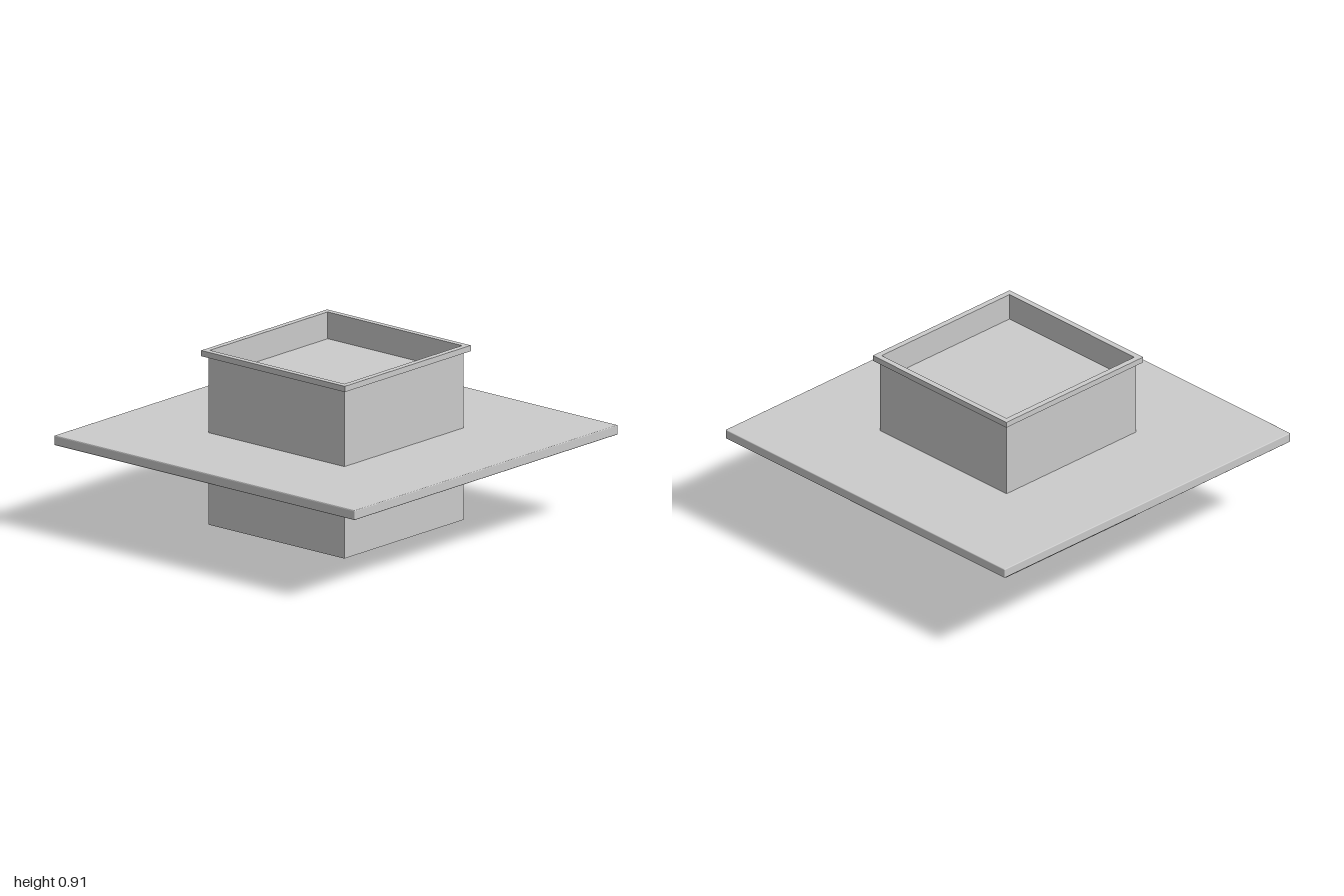
import * as THREE from 'three';
import { RoundedBoxGeometry } from 'three/addons/geometries/RoundedBoxGeometry.js';

const material = new THREE.MeshStandardMaterial({ color: 0xcccccc });

function addPart(group, name, geometry, y) {
  const mesh = new THREE.Mesh(geometry, material);
  mesh.name = name;
  mesh.position.y = y;
  group.add(mesh);
}

// Trace a square of the given half width onto a shape or path
function square(path, h) {
  path.moveTo(-h, -h);
  path.lineTo(h, -h);
  path.lineTo(h, h);
  path.lineTo(-h, h);
  path.closePath();
  return path;
}

// Square frame, standing on y = 0
function squareFrame(outer, inner, height) {
  const shape = square(new THREE.Shape(), outer);
  shape.holes.push(square(new THREE.Path(), inner));
  return new THREE.ExtrudeGeometry(shape, { depth: height, bevelEnabled: false }).rotateX(-Math.PI / 2);
}

export function createModel() {
  const group = new THREE.Group();
  const outer = 0.452, inner = 0.447, floorY = 0.77, lipY = 0.88, topY = 0.91;

  // Solid lower body, closed below and forming the recessed floor
  addPart(group, 'body', new THREE.BoxGeometry(outer * 2, floorY, outer * 2), floorY / 2);

  // Thin walls around the recess
  addPart(group, 'recessWalls', squareFrame(outer, inner, lipY - floorY), floorY);

  // Projecting lip around the opening
  addPart(group, 'rim', squareFrame(0.478, inner, topY - lipY), lipY);

  // Wide plate with finely softened edges
  addPart(group, 'plate', new RoundedBoxGeometry(2, 0.05, 2, 2, 0.005), 0.455);

  return group;
}
